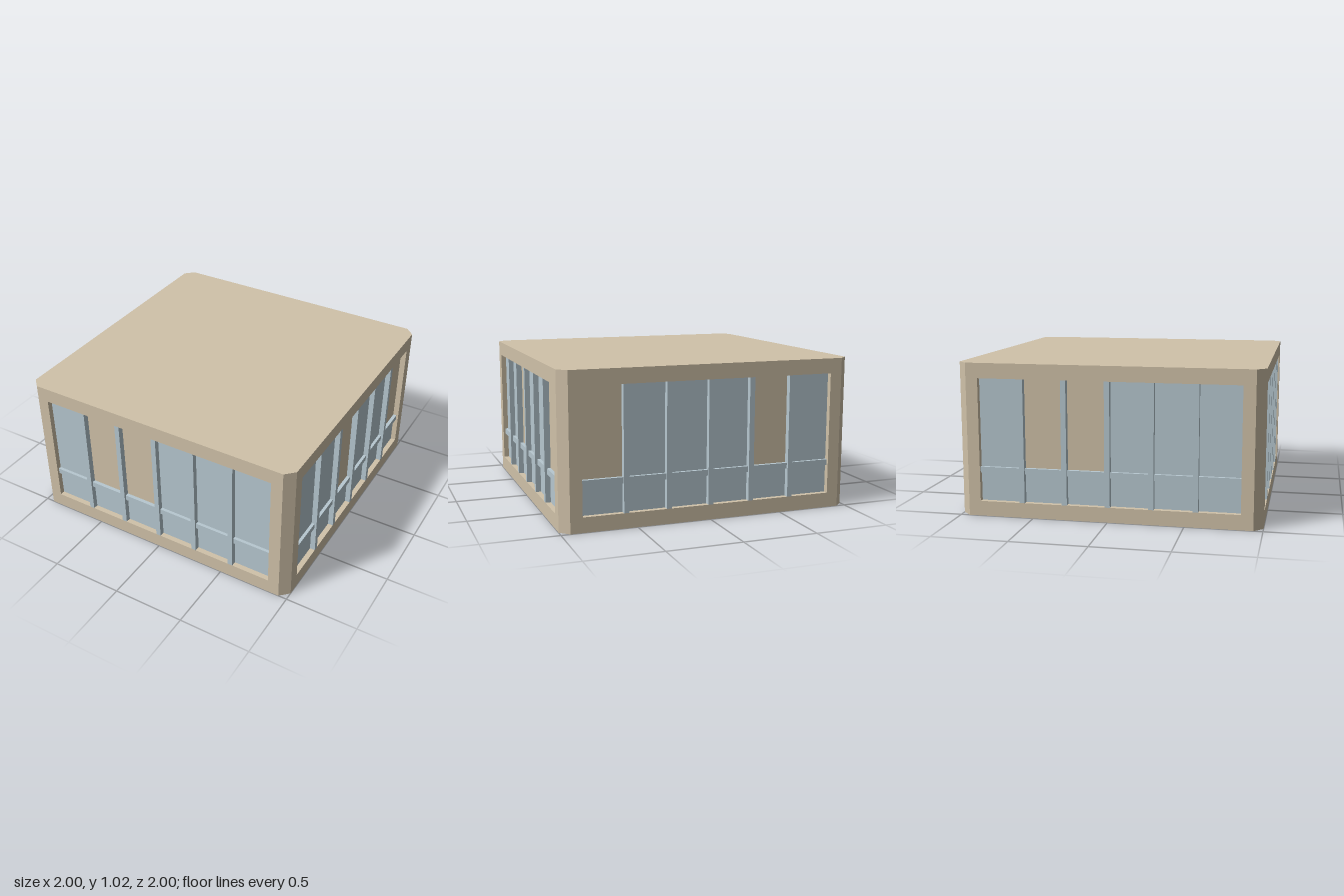
import * as THREE from 'three';

const HEIGHT = 1.02;      // storey height
const EDGE = 0.94;        // where the corner chamfer starts
const RECESS = 0.04;      // depth of the window openings
const BACK = 1 - RECESS;  // plane behind the glazing
const OPEN = { x: 0.86, y0: 0.1, y1: 0.92 };
const PITCH = 0.2865, MULLION = 0.035;
const RAIL = { y0: 0.29, y1: 0.33, depth: 0.025 };
const PANE = 0.004;

// Upper panes per facade, left to right from outside: g = glass, w = solid wall
const FACADES = [
  { name: 'front', turn: 0, panes: 'gwwggg' },
  { name: 'east', turn: Math.PI / 2, panes: 'ggwggw' },
  { name: 'back', turn: Math.PI, panes: 'wgggwg' },
  { name: 'west', turn: -Math.PI / 2, panes: 'gwwggg' },
];

export function createModel() {
  const wall = new THREE.MeshStandardMaterial({ color: 0xd0c2a9 });
  wall.name = 'sandWall';
  const glass = new THREE.MeshStandardMaterial({ color: 0xb7c8d0 });
  glass.name = 'paleBlueGlazing';

  const model = new THREE.Group();
  model.name = 'buildingStorey';

  // Box between two corners
  function block(parent, name, material, x0, x1, y0, y1, z0, z1) {
    const mesh = new THREE.Mesh(new THREE.BoxGeometry(x1 - x0, y1 - y0, z1 - z0), material);
    mesh.position.set((x0 + x1) / 2, (y0 + y1) / 2, (z0 + z1) / 2);
    mesh.name = name;
    parent.add(mesh);
  }

  // Core with chamfered corner piers; notched where the facade frames sit
  const outline = [];
  for (let i = 0; i < 4; i++) {
    const c = Math.round(Math.cos(i * Math.PI / 2)), s = Math.round(Math.sin(i * Math.PI / 2));
    for (const [x, y] of [[BACK, -EDGE], [BACK, EDGE], [1, EDGE], [EDGE, 1], [EDGE, BACK]]) {
      // the last point of each corner is the first point of the next side
      if (x === EDGE && y === BACK) continue;
      outline.push(new THREE.Vector2(c * x - s * y, s * x + c * y));
    }
  }
  const coreGeometry = new THREE.ExtrudeGeometry(new THREE.Shape(outline), { depth: HEIGHT, bevelEnabled: false });
  coreGeometry.rotateX(-Math.PI / 2);
  const core = new THREE.Mesh(coreGeometry, wall);
  core.name = 'coreAndCornerPiers';
  model.add(core);

  // Wall frame around one wide opening
  const rect = (Type, x, y0, y1) => {
    const path = new Type();
    path.moveTo(-x, y0).lineTo(x, y0).lineTo(x, y1).lineTo(-x, y1).closePath();
    return path;
  };
  const frameShape = rect(THREE.Shape, EDGE, 0, HEIGHT);
  frameShape.holes.push(rect(THREE.Path, OPEN.x, OPEN.y0, OPEN.y1));
  const frameGeometry = new THREE.ExtrudeGeometry(frameShape, { depth: RECESS, bevelEnabled: false });
  frameGeometry.translate(0, 0, BACK);

  for (const { name, turn, panes } of FACADES) {
    const facade = new THREE.Group();
    facade.name = name + 'Facade';
    facade.rotation.y = turn;
    model.add(facade);

    const frame = new THREE.Mesh(frameGeometry, wall);
    frame.name = 'wallFrame';
    facade.add(frame);

    // Mullions flush with the wall
    for (let i = -2; i <= 2; i++) {
      const x = i * PITCH;
      block(facade, 'mullion', glass, x - MULLION / 2, x + MULLION / 2, OPEN.y0, OPEN.y1, BACK, 1);
    }

    // Each bay: lower panel, rail and optional upper pane
    for (let i = 0; i < 6; i++) {
      const x0 = i === 0 ? -OPEN.x : (i - 3) * PITCH + MULLION / 2;
      const x1 = i === 5 ? OPEN.x : (i - 2) * PITCH - MULLION / 2;
      block(facade, 'lowerPanel', glass, x0, x1, OPEN.y0, RAIL.y0, BACK, BACK + PANE);
      block(facade, 'rail', glass, x0, x1, RAIL.y0, RAIL.y1, BACK, BACK + RAIL.depth);
      if (panes[i] === 'g') block(facade, 'upperPane', glass, x0, x1, RAIL.y1, OPEN.y1, BACK, BACK + PANE);
    }
  }
  return model;
}
